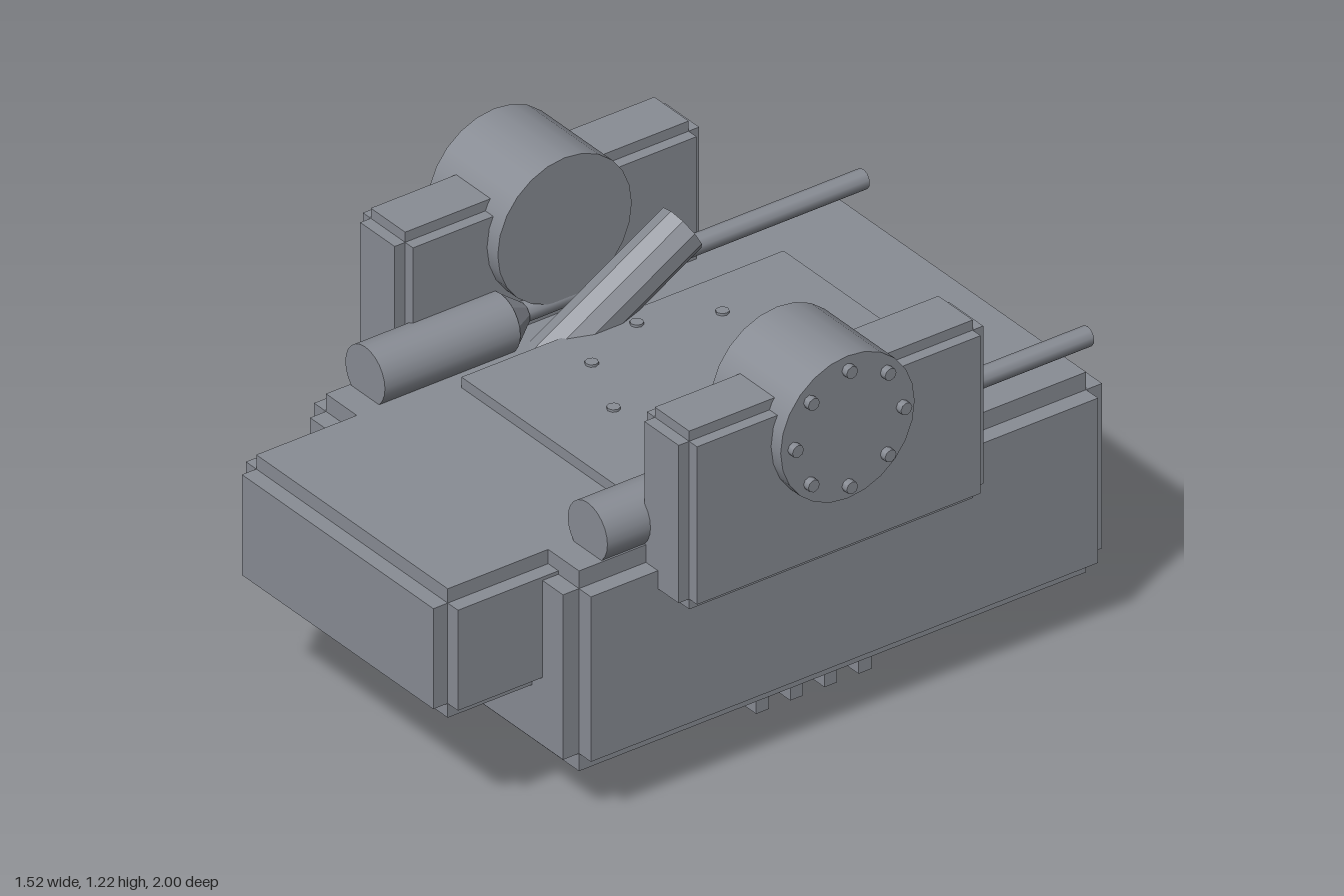
import * as THREE from 'three';

const material = new THREE.MeshStandardMaterial({ color: 0x888c94 });
const facetMaterial = new THREE.MeshStandardMaterial({ color: 0x888c94, flatShading: true });

function add(parent, name, geometry, mat = material) {
  const mesh = new THREE.Mesh(geometry, mat);
  mesh.name = name;
  parent.add(mesh);
  return mesh;
}

// Box from its minimum and maximum corners
function box(parent, name, min, max) {
  const size = max.map((v, i) => v - min[i]);
  const mesh = add(parent, name, new THREE.BoxGeometry(...size));
  mesh.position.set(...max.map((v, i) => (v + min[i]) / 2));
}

// Box with notched edges: three crossed boxes, each full size along one axis
function notchedBox(parent, name, min, max, inset) {
  const group = new THREE.Group();
  group.name = name;
  parent.add(group);
  for (let axis = 0; axis < 3; axis++) {
    const lo = min.map((v, i) => (i === axis ? v : v + inset[i]));
    const hi = max.map((v, i) => (i === axis ? v : v - inset[i]));
    box(group, name + 'Slab', lo, hi);
  }
}

// Cylinder between two points, tapering if the end radius differs
function rod(parent, name, from, to, radius, sides, mat = material, endRadius = radius) {
  const a = new THREE.Vector3(...from), b = new THREE.Vector3(...to);
  const mesh = add(parent, name, new THREE.CylinderGeometry(endRadius, radius, a.distanceTo(b), sides), mat);
  mesh.position.copy(a).add(b).multiplyScalar(0.5);
  mesh.quaternion.setFromUnitVectors(new THREE.Vector3(0, 1, 0), b.sub(a).normalize());
}

export function createModel() {
  const model = new THREE.Group();
  model.name = 'machineBody';

  // Hull and front block
  notchedBox(model, 'hull', [-0.58, 0.147, -1], [0.58, 0.737, 0.69], [0.05, 0.052, 0.05]);
  notchedBox(model, 'frontBlock', [-0.444, 0.357, 0.595], [0.444, 0.737, 1], [0.043, 0.042, 0.045]);

  // Top plate with a ring of rivets
  box(model, 'topPlate', [-0.35, 0.7, -0.66], [0.35, 0.768, 0.35]);
  for (let i = 0; i < 8; i++) {
    const a = (i * Math.PI) / 4;
    const x = 0.29 * Math.cos(a), z = -0.155 + 0.29 * Math.sin(a);
    rod(model, 'plateRivet', [x, 0.76, z], [x, 0.775, z], 0.018, 8);
  }

  // Underside ribs and mounting block
  for (let i = 0; i < 4; i++) {
    const z = 0.018 - i * 0.107;
    box(model, 'bottomRib', [-0.468, 0.063, z - 0.02], [0.468, 0.17, z + 0.02]);
  }
  box(model, 'bottomBlock', [-0.105, 0, -0.6], [0.105, 0.17, -0.385]);

  for (const s of [1, -1]) {
    const side = new THREE.Group();
    side.name = s > 0 ? 'leftSide' : 'rightSide';
    model.add(side);

    // Shoulder housing
    const xs = [s * 0.49, s * 0.7].sort((a, b) => a - b);
    notchedBox(side, 'shoulderHousing', [xs[0], 0.602, -0.525], [xs[1], 1.127, 0.43], [0.033, 0.03, 0.033]);

    // Shoulder drum with a ring of bolts
    const cy = 1.012, cz = -0.045;
    rod(side, 'shoulderDrum', [s * 0.445, cy, cz], [s * 0.74, cy, cz], 0.21, 24);
    for (let i = 0; i < 8; i++) {
      const a = (i * Math.PI) / 4;
      const y = cy + 0.17 * Math.sin(a), z = cz + 0.17 * Math.cos(a);
      rod(side, 'drumBolt', [s * 0.73, y, z], [s * 0.76, y, z], 0.018, 8);
    }

    // Front canister with tapered neck, long rear rod and slanted post
    const x = s * 0.466, y = 0.796;
    rod(side, 'frontCanister', [x, y, 0.14], [x, y, 0.565], 0.083, 24);
    rod(side, 'canisterNeck', [x, y, 0.14], [x, y, 0.07], 0.083, 10, facetMaterial, 0.03);
    rod(side, 'rearRod', [s * 0.47, y, -1], [s * 0.47, y, 0.2], 0.028, 10);
    rod(side, 'slantedPost', [s * 0.38, 0.93, -0.365], [s * 0.38, 0.635, 0.146], 0.071, 10, facetMaterial);
  }

  return model;
}
